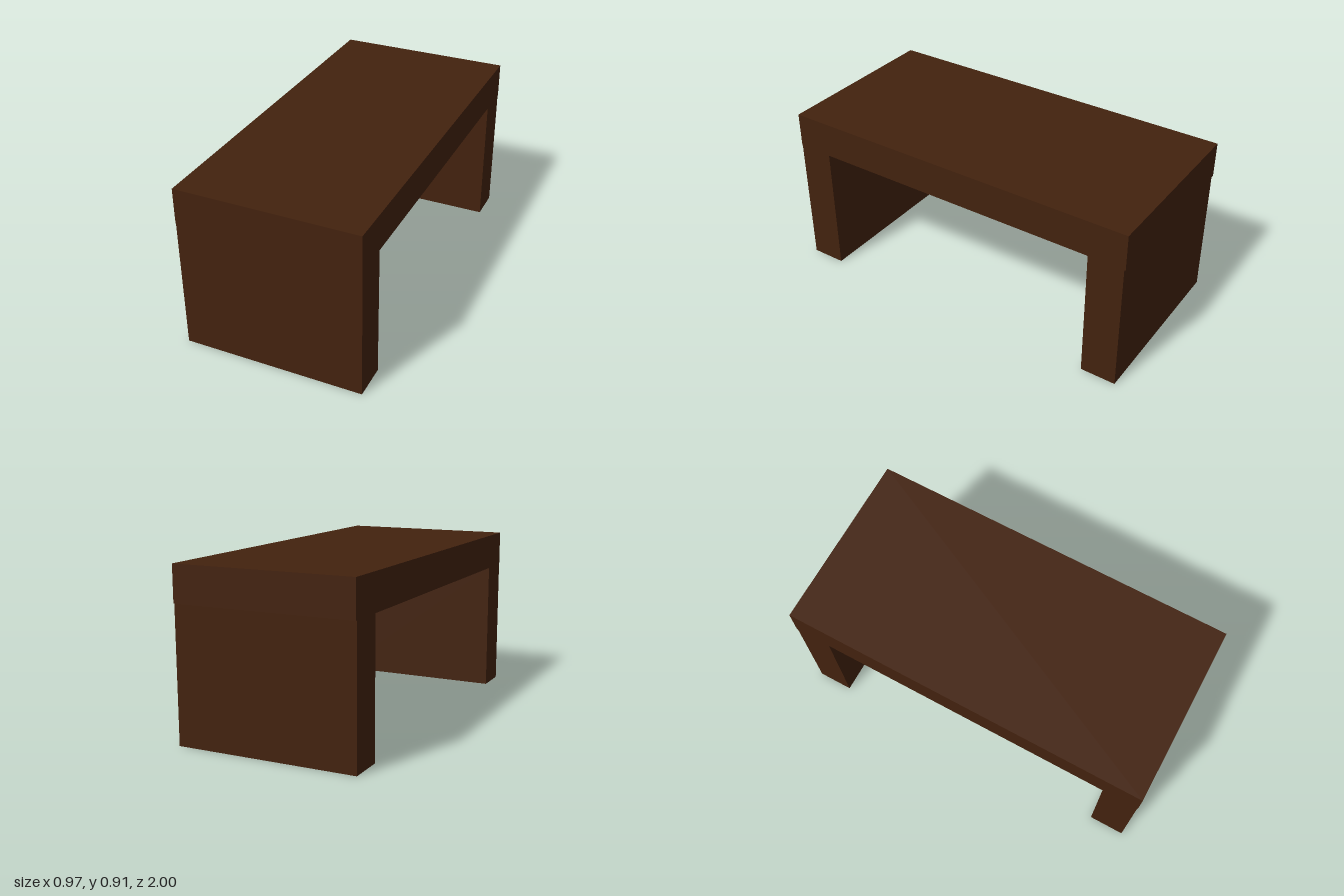
import * as THREE from 'three';

export function createModel() {
  const group = new THREE.Group();
  const darkWood = new THREE.MeshStandardMaterial({ color: 0x43220e });
  const width = 0.972, height = 0.908, legHeight = 0.715;

  // Box spanning the full width, given its y and z extents
  const addSlab = (name, y0, y1, z0, z1) => {
    const mesh = new THREE.Mesh(new THREE.BoxGeometry(width, y1 - y0, z1 - z0), darkWood);
    mesh.position.set(0, (y0 + y1) / 2, (z0 + z1) / 2);
    mesh.name = name;
    group.add(mesh);
  };

  // Thick top resting on two panel legs, set very slightly in from the ends
  addSlab('tableTop', legHeight, height, -1, 1);
  addSlab('frontLeg', 0, legHeight, 0.805, 0.997);
  addSlab('backLeg', 0, legHeight, -0.993, -0.801);

  return group;
}
